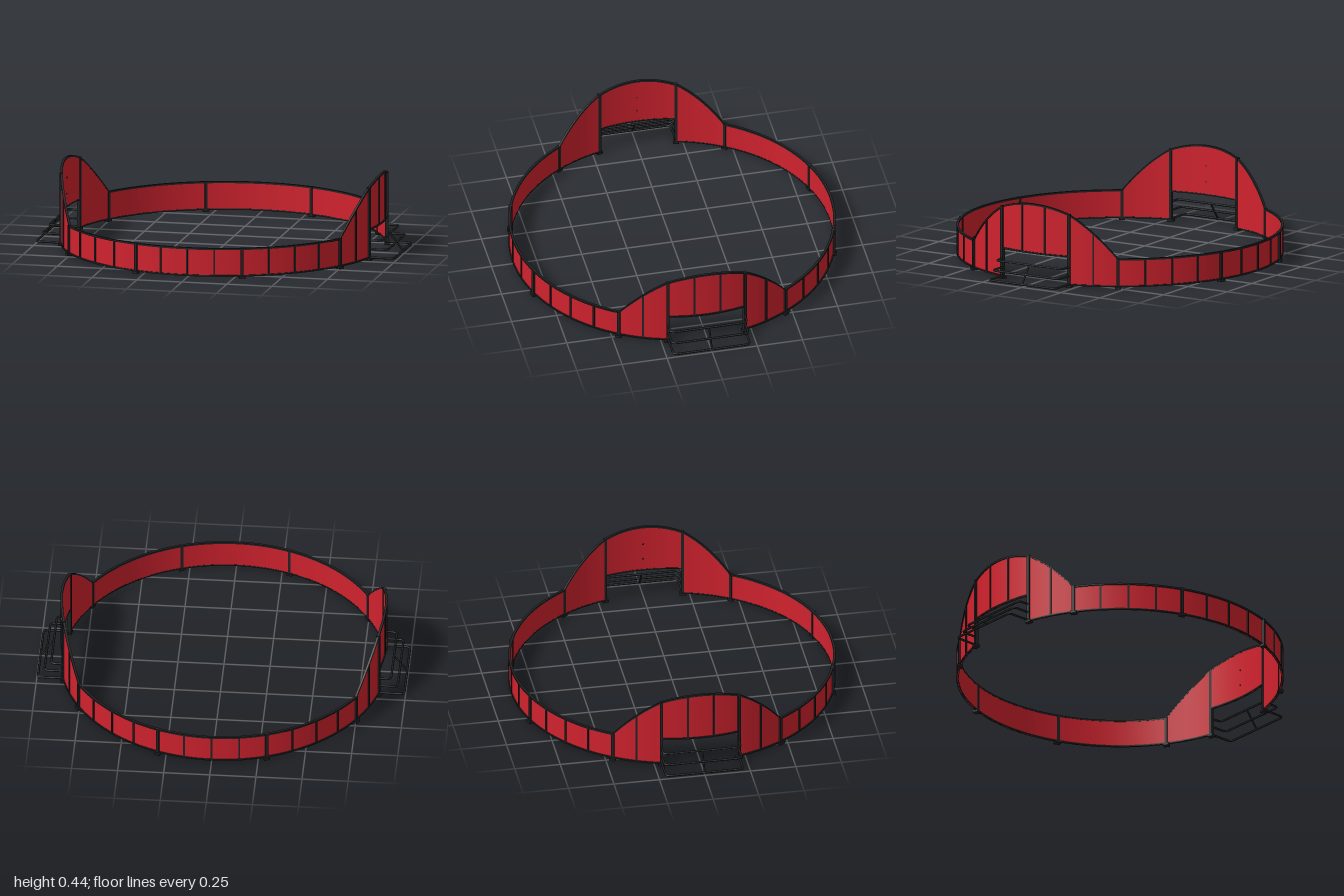
import * as THREE from 'three';

const red = new THREE.MeshStandardMaterial({ color: 0xd0222e });
red.name = 'panelRed';
const dark = new THREE.MeshStandardMaterial({ color: 0x212224 });
dark.name = 'frameBlack';

const RAD = Math.PI / 180;
const FLOOR = 0.01, WALL = 0.165, PEAK = 0.4;
const GOAL = 14, SLOPE = 31.5; // degrees away from the side axis

// Height of the wall top at an angle: flat, then a slanted cut, then an arch over each goal
function topAt(deg) {
  const c = Math.abs(Math.cos(deg * RAD));
  const a = Math.acos(Math.min(1, c)) / RAD;
  if (a >= SLOPE) return WALL;
  if (a <= GOAL) return PEAK + 0.04 * (1 - (a / GOAL) ** 2);
  const c0 = Math.cos(SLOPE * RAD), c1 = Math.cos(GOAL * RAD);
  return WALL + (PEAK - WALL) * (c - c0) / (c1 - c0);
}

// Rectangular section swept around the ring, smooth along its length with sharp edges
function sweep(d0, d1, rIn, rOut, low, high, steps) {
  const pos = [], idx = [];
  const corners = (deg) => {
    const c = Math.cos(deg * RAD), s = Math.sin(deg * RAD), lo = low(deg), hi = high(deg);
    return [[rIn, lo], [rOut, lo], [rOut, hi], [rIn, hi]].map(([r, y]) => [r * c, y, r * s]);
  };
  for (let side = 0; side < 4; side++) {
    const base = pos.length / 3;
    for (let i = 0; i <= steps; i++) {
      const p = corners(d0 + (d1 - d0) * i / steps);
      pos.push(...p[side], ...p[(side + 1) % 4]);
      if (i < steps) {
        const a = base + i * 2;
        idx.push(a, a + 1, a + 3, a, a + 3, a + 2);
      }
    }
  }
  for (const [deg, order] of [[d0, [0, 2, 1, 0, 3, 2]], [d1, [0, 1, 2, 0, 2, 3]]]) {
    const base = pos.length / 3;
    pos.push(...corners(deg).flat());
    idx.push(...order.map((k) => base + k));
  }
  const g = new THREE.BufferGeometry();
  g.setAttribute('position', new THREE.Float32BufferAttribute(pos, 3));
  g.setIndex(idx);
  g.computeVertexNormals();
  return g;
}

function add(parent, geometry, material, name) {
  const mesh = new THREE.Mesh(geometry, material);
  mesh.name = name;
  parent.add(mesh);
  return mesh;
}

// Box placed on the ring, turned to face outwards
function ringBox(parent, deg, r, depth, width, y0, y1, name) {
  const m = add(parent, new THREE.BoxGeometry(depth, y1 - y0, width), dark, name);
  m.position.set(r * Math.cos(deg * RAD), (y0 + y1) / 2, r * Math.sin(deg * RAD));
  m.rotation.y = -deg * RAD;
}

// One wall section with its rims and outer ribs
function wallSection(d0, d1, bays, bottom) {
  const group = new THREE.Group();
  group.name = 'wallSection';
  const low = () => bottom;
  const steps = 24;
  add(group, sweep(d0, d1, 0.873, 0.879, low, topAt, steps), red, 'panel');
  add(group, sweep(d0, d1, 0.872, 0.885, (d) => topAt(d) - 0.008, (d) => topAt(d) + 0.002, steps), dark, 'topRim');
  add(group, sweep(d0, d1, 0.872, 0.885, low, () => bottom + 0.008, steps), dark, 'bottomRim');
  for (let i = 1; i < bays; i++) {
    const d = d0 + (d1 - d0) * i / bays;
    add(group, sweep(d - 0.32, d + 0.32, 0.878, 0.885, low, topAt, 1), dark, 'rib');
  }
  return group;
}

// U-shaped bar with rounded corners, reaching outwards from the goal posts
function goalBar(parent, x, y) {
  const z = 0.212, r = 0.025, v = (a, b) => new THREE.Vector3(a, y, b);
  const path = new THREE.CurvePath();
  path.add(new THREE.LineCurve3(v(0.86, z), v(x - r, z)));
  path.add(new THREE.QuadraticBezierCurve3(v(x - r, z), v(x, z), v(x, z - r)));
  path.add(new THREE.LineCurve3(v(x, z - r), v(x, r - z)));
  path.add(new THREE.QuadraticBezierCurve3(v(x, r - z), v(x, -z), v(x - r, -z)));
  path.add(new THREE.LineCurve3(v(x - r, -z), v(0.86, -z)));
  add(parent, new THREE.TubeGeometry(path, 90, 0.006, 8), dark, 'goalBar');
}

function goalFrame() {
  const group = new THREE.Group();
  group.name = 'goalFrame';
  goalBar(group, 0.922, 0.11);
  goalBar(group, 0.958, 0.062);
  goalBar(group, 0.994, 0.015);
  const brace = new THREE.LineCurve3(new THREE.Vector3(0.922, 0.11, 0), new THREE.Vector3(0.994, 0.015, 0));
  add(group, new THREE.TubeGeometry(brace, 1, 0.005, 8), dark, 'goalBrace');
  return group;
}

export function createModel() {
  const model = new THREE.Group();
  model.name = 'arena';

  // Wall sections: start, end, bays, bottom height
  const half = [
    [-GOAL, GOAL, 3, WALL],
    [GOAL, SLOPE, 2, FLOOR],
    [SLOPE, 70.5, 4, FLOOR],
    [70.5, 109.5, 4, FLOOR],
    [109.5, 148.5, 4, FLOOR],
    [148.5, 166, 2, FLOOR],
  ];
  for (const turn of [0, 180])
    for (const [a, b, bays, bottom] of half) model.add(wallSection(a + turn, b + turn, bays, bottom));

  // Posts and feet at the joints
  for (const turn of [0, 180])
    for (const a of [14, 31.5, 70.5, 109.5, 148.5, 166]) {
      const d = a + turn;
      ringBox(model, d, 0.88, 0.02, 0.016, 0.005, topAt(d) + 0.002, 'post');
      ringBox(model, d, 0.882, 0.03, 0.034, 0, 0.014, 'foot');
    }

  // Goal frames and small bolts inside the arches
  for (const turn of [0, 180]) {
    const frame = goalFrame();
    frame.rotation.y = turn * RAD;
    model.add(frame);
    for (const y of [0.24, 0.33]) ringBox(model, turn, 0.873, 0.004, 0.006, y - 0.004, y + 0.004, 'bolt');
  }
  return model;
}
